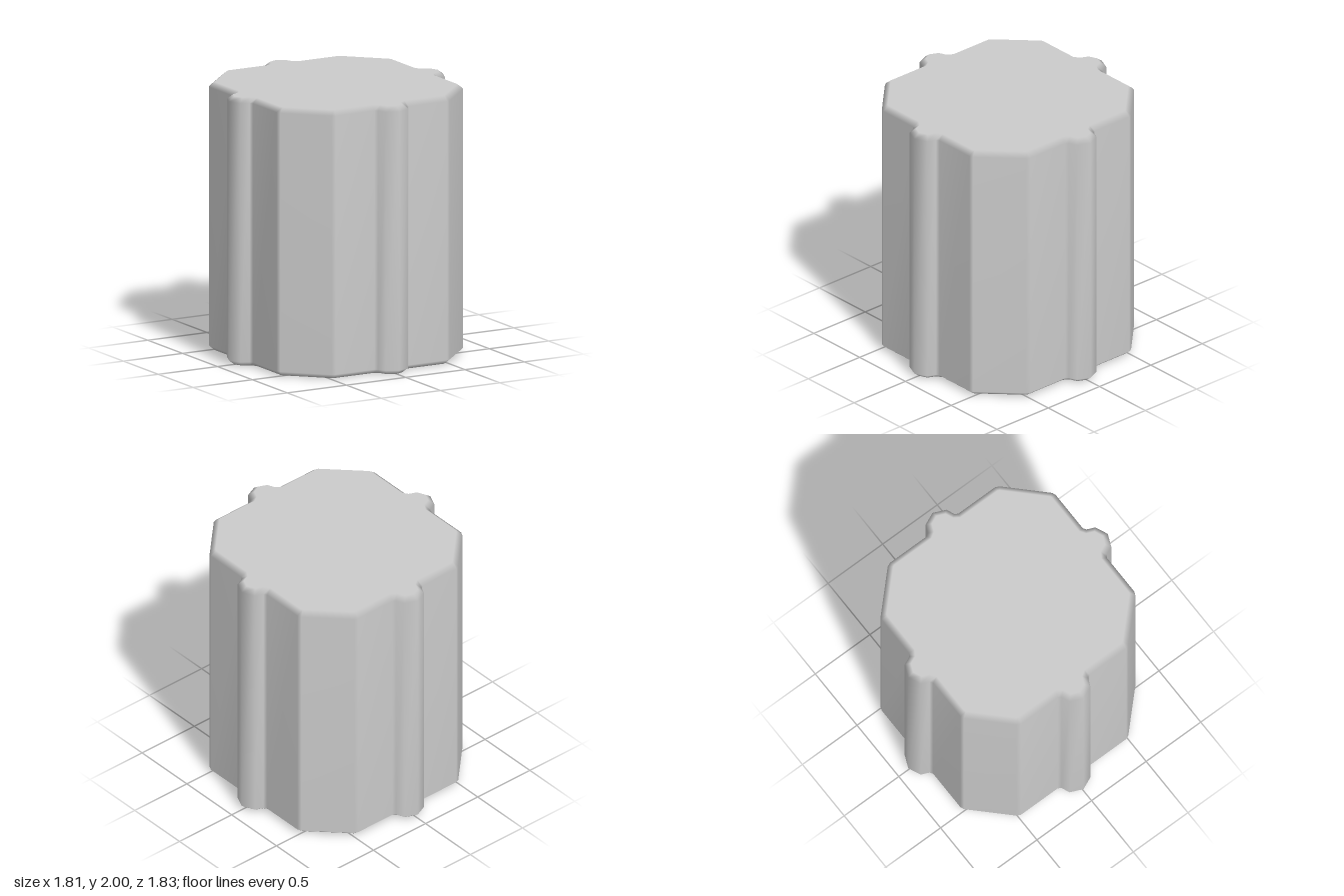
import * as THREE from 'three';

const HEIGHT = 2, BEVEL_HEIGHT = 0.035, BEVEL_INSET = 0.042;

// Quarter outline (x, z) from the side rib's tip round to the front rib's tip
const QUARTER = [
  [0.904, 0], [0.862, 0.095], [0.8, 0.122], [0.785, 0.145],
  [0.785, 0.482], [0.771, 0.512],
  [0.498, 0.785], [0.47, 0.796],
  [0.145, 0.796], [0.122, 0.811], [0.095, 0.873], [0, 0.914],
];

// Mirror the quarter into the closed outline
function fullOutline() {
  const half = [...QUARTER, ...QUARTER.slice(0, -1).reverse().map(([x, z]) => [-x, z])];
  const back = half.slice(1, -1).reverse().map(([x, z]) => [x, -z]);
  return [...half, ...back].map(([x, z]) => new THREE.Vector2(x, z));
}

// Move every edge of the outline inwards by a fixed distance
function inset(points, distance) {
  const n = points.length;
  const normal = (a, b) => new THREE.Vector2(b.y - a.y, a.x - b.x).normalize();
  return points.map((p, i) => {
    const n0 = normal(points[(i + n - 1) % n], p);
    const n1 = normal(p, points[(i + 1) % n]);
    const miter = n0.clone().add(n1).divideScalar(1 + n0.dot(n1));
    return p.clone().addScaledVector(miter, -distance);
  });
}

// Stack the outline loops, bevelled at both ends, and close them with flat caps
function ribbedPrism() {
  const outer = fullOutline();
  const inner = inset(outer, BEVEL_INSET);
  const n = outer.length;
  const loops = [
    [inner, 0], [outer, BEVEL_HEIGHT],
    [outer, HEIGHT - BEVEL_HEIGHT], [inner, HEIGHT],
  ];
  const position = [], index = [];
  for (const [loop, y] of loops) for (const p of loop) position.push(p.x, y, p.y);
  const bottom = 4 * n, top = bottom + 1;
  position.push(0, 0, 0, 0, HEIGHT, 0);

  for (let i = 0; i < n; i++) {
    const j = (i + 1) % n;
    for (let k = 0; k < 3; k++) {
      const a = k * n + i, b = k * n + j;
      index.push(a, a + n, b, b, a + n, b + n);
    }
    index.push(bottom, i, j, top, 3 * n + j, 3 * n + i);
  }

  const geometry = new THREE.BufferGeometry();
  geometry.setAttribute('position', new THREE.Float32BufferAttribute(position, 3));
  geometry.setIndex(index);
  geometry.computeVertexNormals();

  // Keep the caps flat so only the bevels are shaded round
  const normals = geometry.attributes.normal;
  for (let i = 0; i < n; i++) {
    normals.setXYZ(i, 0, -1, 0);
    normals.setXYZ(3 * n + i, 0, 1, 0);
  }
  return geometry;
}

export function createModel() {
  const model = new THREE.Group();
  model.name = 'ribbedOctagonalBlock';
  const body = new THREE.Mesh(ribbedPrism(), new THREE.MeshStandardMaterial({ color: 0xcccccc }));
  body.name = 'ribbedBody';
  model.add(body);
  return model;
}
